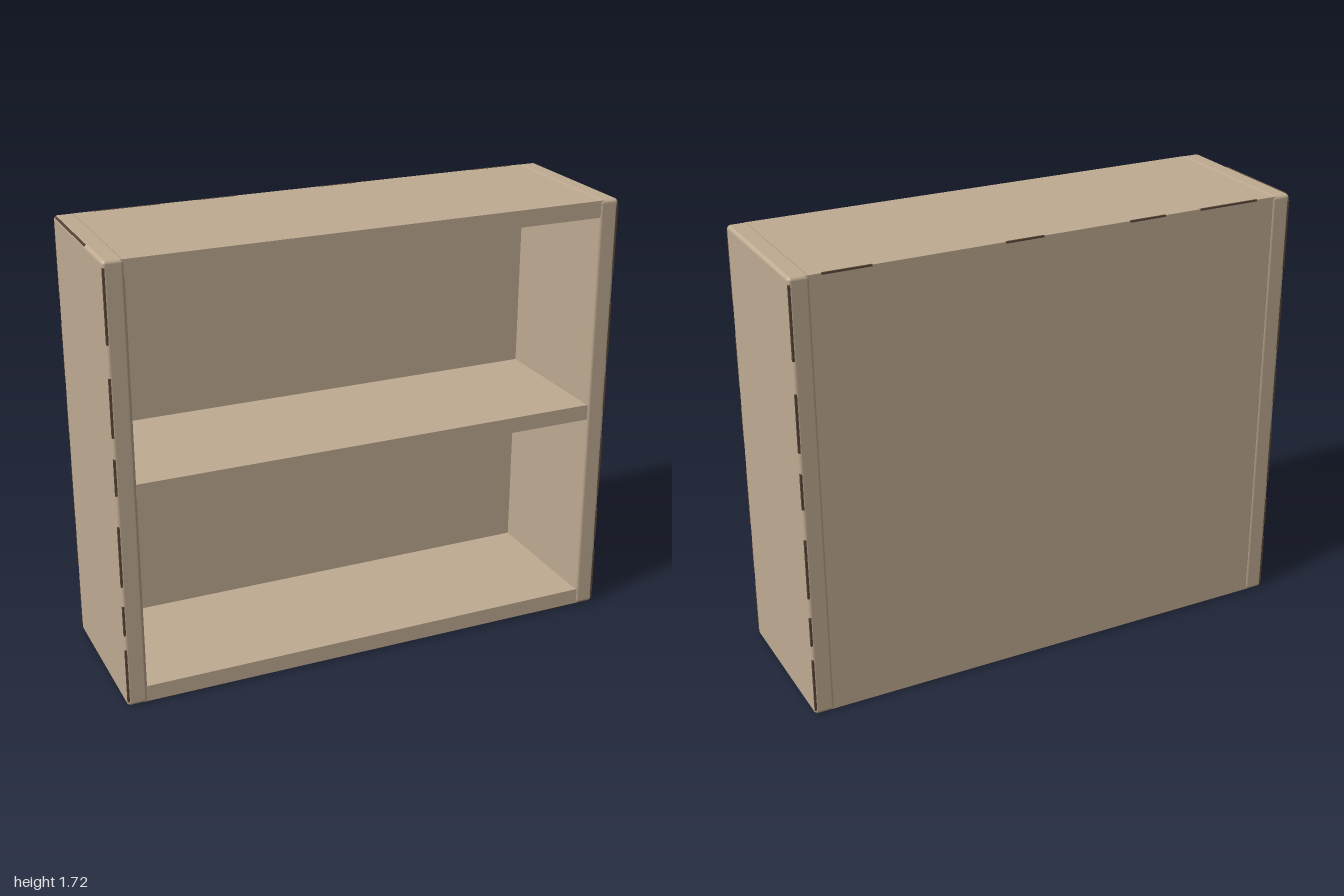
import * as THREE from 'three';
import { RoundedBoxGeometry } from 'three/addons/geometries/RoundedBoxGeometry.js';

export function createModel() {
  const group = new THREE.Group();
  const wood = new THREE.MeshStandardMaterial({ color: 0xc0ab92 });
  wood.name = 'tan wood';
  const dark = new THREE.MeshStandardMaterial({ color: 0x5c493b });
  dark.name = 'dark brown wear';

  // Adds a mesh spanning the given minimum and maximum on each axis
  const panel = (name, [x0, x1], [y0, y1], [z0, z1], material = wood, radius = 0) => {
    const size = [x1 - x0, y1 - y0, z1 - z0];
    const geometry = radius
      ? new RoundedBoxGeometry(...size, 3, radius)
      : new THREE.BoxGeometry(...size);
    const mesh = new THREE.Mesh(geometry, material);
    mesh.name = name;
    mesh.position.set((x0 + x1) / 2, (y0 + y1) / 2, (z0 + z1) / 2);
    group.add(mesh);
  };

  // Softly rounded side panels
  panel('leftSide', [0.92, 1], [0.002, 1.715], [-0.315, 0.315], wood, 0.014);
  panel('rightSide', [-1, -0.92], [0.002, 1.715], [-0.315, 0.315], wood, 0.014);

  // Horizontal boards, butted between the sides
  const inside = [-0.935, 0.935];
  const depth = [-0.312, 0.312];
  panel('topBoard', inside, [1.648, 1.713], depth);
  panel('middleShelf', inside, [0.828, 0.89], [-0.28, 0.31]);
  panel('bottomBoard', inside, [0.006, 0.07], depth);

  // Closed back
  panel('backPanel', inside, [0.07, 1.648], [-0.312, -0.257]);

  // Dark patches under the ends
  panel('leftUndersidePatch', [0.73, 0.99], [0, 0.007], [-0.305, 0.305], dark);
  panel('rightUndersidePatch', [-0.99, -0.91], [0, 0.007], [-0.305, -0.11], dark);

  // Broken lines of wear down the four upright corners
  const dashes = [[0.02, 0.24], [0.3, 0.42], [0.5, 0.74], [0.86, 1.0], [1.08, 1.3], [1.42, 1.69]];
  for (const x of [-0.995, 0.995]) {
    for (const z of [-0.31, 0.31]) {
      for (const span of dashes) {
        panel('cornerWear', [x - 0.004, x + 0.004], span, [z - 0.004, z + 0.004], dark);
      }
    }
  }

  // Wear along the upper back edge and the upper edge of the right side
  for (const span of [[-0.85, -0.6], [-0.45, -0.3], [0.05, 0.2], [0.7, 0.88]]) {
    panel('backEdgeWear', span, [1.707, 1.714], [-0.313, -0.306], dark);
  }
  panel('sideEdgeWear', [-0.999, -0.992], [1.707, 1.714], [-0.29, 0.1], dark);

  return group;
}
